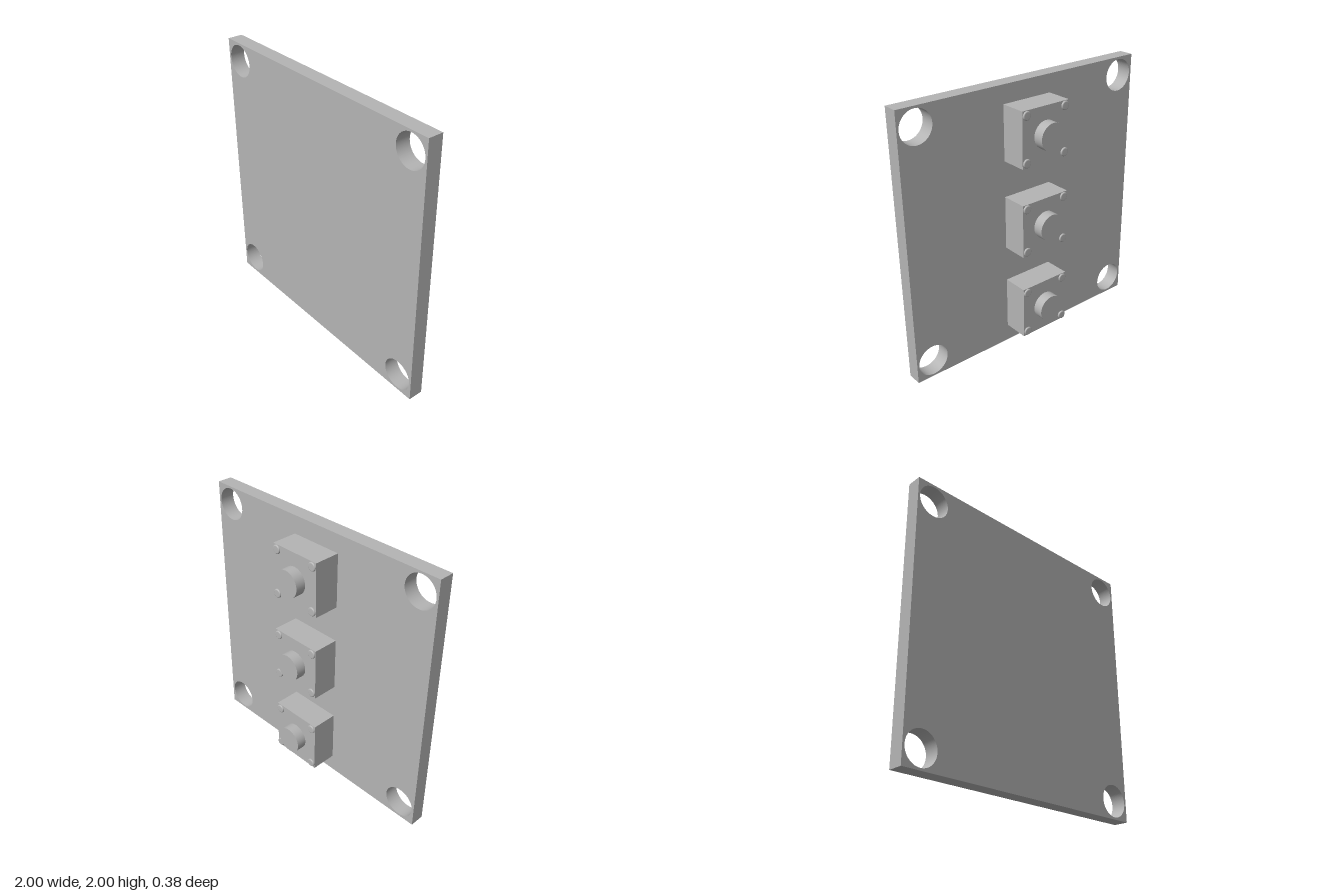
import * as THREE from 'three';

const grey = new THREE.MeshStandardMaterial({ color: 0xb4b4b4 });
grey.name = 'light grey';

function part(name, geometry, x = 0, y = 0, z = 0) {
  const mesh = new THREE.Mesh(geometry, grey);
  mesh.name = name;
  mesh.position.set(x, y, z);
  return mesh;
}

// Square plate with a round mounting hole in each corner
function plateGeometry() {
  const shape = new THREE.Shape();
  shape.moveTo(-1, -1).lineTo(1, -1).lineTo(1, 1).lineTo(-1, 1).closePath();
  for (const sx of [-1, 1]) {
    for (const sy of [-1, 1]) {
      const hole = new THREE.Path();
      hole.absarc(sx * 0.866, sy * 0.866, 0.118, 0, Math.PI * 2, true);
      shape.holes.push(hole);
    }
  }
  return new THREE.ExtrudeGeometry(shape, { depth: 0.11, bevelEnabled: false, curveSegments: 64 });
}

// Low round stud with a rounded rim, its top facing -z
function studGeometry() {
  const r = 0.032, h = 0.012, fillet = 0.008;
  const points = [new THREE.Vector2(r, 0)];
  for (let i = 0; i <= 5; i++) {
    const a = (i / 5) * Math.PI / 2;
    points.push(new THREE.Vector2(r - fillet + fillet * Math.cos(a), h - fillet + fillet * Math.sin(a)));
  }
  points.push(new THREE.Vector2(0, h));
  return new THREE.LatheGeometry(points, 32).rotateX(-Math.PI / 2);
}

export function createModel() {
  const model = new THREE.Group();
  model.name = 'buttonBoard';
  model.add(part('plate', plateGeometry(), 0, 1, 0.08));

  const housing = new THREE.BoxGeometry(0.4, 0.4, 0.194);
  const plunger = new THREE.CylinderGeometry(0.1, 0.1, 0.076, 48).rotateX(-Math.PI / 2);
  const stud = studGeometry();

  // Three push buttons in a column on the back
  for (const y of [0.333, 1, 1.667]) {
    const button = new THREE.Group();
    button.name = 'pushButton';
    button.position.y = y;
    button.add(part('housing', housing, 0, 0, -0.017));
    button.add(part('plunger', plunger, 0, 0, -0.152));
    for (const sx of [-1, 1]) {
      for (const sy of [-1, 1]) {
        button.add(part('stud', stud, sx * 0.165, sy * 0.165, -0.113));
      }
    }
    model.add(button);
  }
  return model;
}
